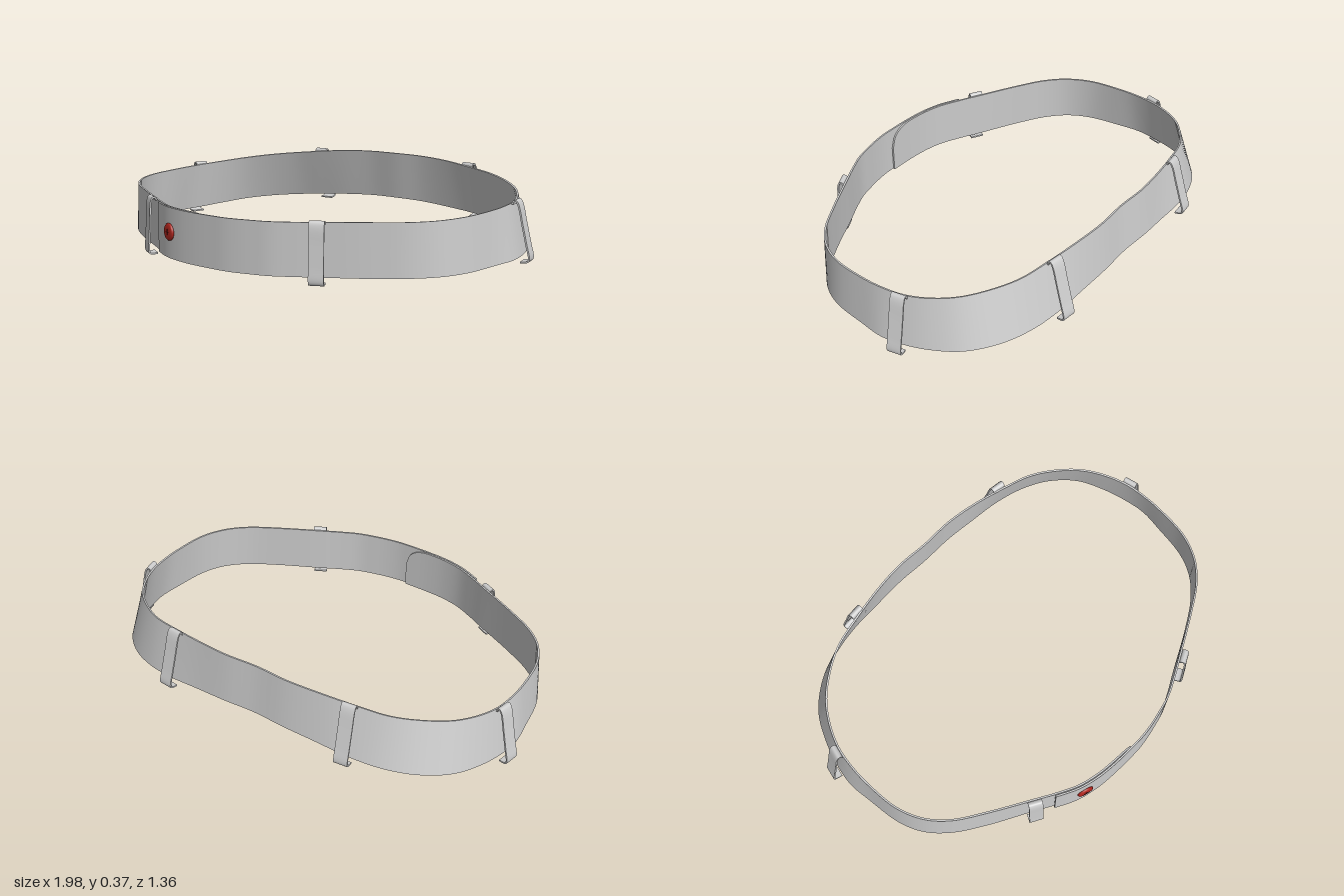
import * as THREE from 'three';

const grey = new THREE.MeshStandardMaterial({ color: 0xcccccc, side: THREE.DoubleSide });
const red = new THREE.MeshStandardMaterial({ color: 0xb3261e });
const darkRed = new THREE.MeshStandardMaterial({ color: 0x4a0d0a });

// Half of the belt line, front centre to back centre:
// top edge x, z, y, then bottom edge x, z, y
const half = [
  [0, 0.669, 0.245, 0, 0.669, 0.026], [0.1, 0.667, 0.245, 0.1, 0.667, 0.026],
  [0.19, 0.658, 0.246, 0.19, 0.658, 0.027], [0.28, 0.636, 0.247, 0.28, 0.636, 0.028],
  [0.37, 0.594, 0.249, 0.37, 0.594, 0.03], [0.46, 0.545, 0.252, 0.46, 0.545, 0.032],
  [0.64, 0.445, 0.258, 0.65, 0.445, 0.037], [0.77, 0.362, 0.262, 0.78, 0.362, 0.042],
  [0.85, 0.275, 0.266, 0.865, 0.275, 0.046], [0.9, 0.16, 0.271, 0.915, 0.17, 0.05],
  [0.917, 0, 0.276, 0.942, 0, 0.055], [0.915, -0.1, 0.28, 0.953, -0.11, 0.057],
  [0.9, -0.2, 0.285, 0.938, -0.21, 0.06], [0.86, -0.3, 0.294, 0.9, -0.33, 0.07],
  [0.795, -0.395, 0.307, 0.835, -0.45, 0.085], [0.7, -0.475, 0.322, 0.725, -0.545, 0.1],
  [0.59, -0.535, 0.335, 0.6, -0.6, 0.112], [0.45, -0.57, 0.35, 0.46, -0.628, 0.125],
  [0.3, -0.598, 0.364, 0.3, -0.637, 0.138], [0.15, -0.613, 0.371, 0.15, -0.643, 0.147],
  [0, -0.608, 0.373, 0, -0.638, 0.15],
];
const N = 2 * (half.length - 1);

function edgeCurve(k) {
  const right = half.map(p => new THREE.Vector3(p[k], p[k + 2], p[k + 1]));
  const left = right.slice(1, -1).reverse().map(p => new THREE.Vector3(-p.x, p.y, p.z));
  return new THREE.CatmullRomCurve3([...right, ...left], true);
}
const topEdge = edgeCurve(0), bottomEdge = edgeCurve(3);

// Local axes of the belt at station s: both edges, tangent, up and outward
function frame(s) {
  const t = (((s % N) + N) % N) / N;
  const top = topEdge.getPoint(t), bottom = bottomEdge.getPoint(t);
  const tangent = bottomEdge.getTangent(t).setY(0).normalize();
  const up = top.clone().sub(bottom).normalize();
  const out = tangent.clone().cross(up).normalize();
  return { top, bottom, tangent, up, out };
}

// Skin four-cornered rings: smooth along the length, sharp at the corners
function skin(rings) {
  const pos = [], index = [];
  const add = p => pos.push(p.x, p.y, p.z) / 3 - 1;
  for (let j = 0; j < 4; j++) {
    const start = pos.length / 3;
    rings.forEach(r => { add(r[j]); add(r[(j + 1) % 4]); });
    for (let i = 0; i < rings.length - 1; i++) {
      const a = start + i * 2;
      index.push(a, a + 2, a + 3, a, a + 3, a + 1);
    }
  }
  for (const ring of [rings[0], [...rings[rings.length - 1]].reverse()]) {
    const a = pos.length / 3;
    ring.forEach(add);
    index.push(a, a + 1, a + 2, a, a + 2, a + 3);
  }
  const g = new THREE.BufferGeometry();
  g.setAttribute('position', new THREE.Float32BufferAttribute(pos, 3));
  g.setIndex(index);
  g.computeVertexNormals();
  return g;
}

function mesh(name, geometry, material = grey) {
  const m = new THREE.Mesh(geometry, material);
  m.name = name;
  return m;
}

// Band whose outer end overlaps its rounded inner end at the front
function beltBand() {
  const first = -4.1, last = N + 0.3, steps = 300, thick = 0.008, rings = [];
  for (let i = 0; i <= steps; i++) {
    const s = first + (last - first) * i / steps;
    const f = frame(s);
    const lift = 0.011 * (1 - THREE.MathUtils.smoothstep(s, 0.5, 2.5));
    const k = Math.max(0, (s - last + 1.6) / 1.6);
    const height = 0.55 + 0.45 * Math.sqrt(Math.max(0, 1 - k ** 3));
    const top = f.bottom.clone().lerp(f.top, height);
    const at = (p, d) => p.clone().addScaledVector(f.out, d);
    rings.push([at(f.bottom, lift), at(top, lift), at(top, lift - thick), at(f.bottom, lift - thick)]);
  }
  return mesh('beltBand', skin(rings));
}

// Belt loop: strip folded over the top edge, hanging outside, hooked in below
function beltLoop(s, name) {
  const f = frame(s), width = 0.062, thick = 0.007;
  const h = f.top.distanceTo(f.bottom);
  const path = new THREE.CatmullRomCurve3([
    [0.002, h - 0.008], [0.006, h + 0.003], [0.018, h + 0.005], [0.026, h - 0.012],
    [0.031, h * 0.6], [0.036, h * 0.2], [0.039, -0.008], [0.034, -0.021], [0.022, -0.024], [0, -0.022],
  ].map(([a, y]) => new THREE.Vector3(a, y, 0)));
  const rings = [];
  for (let i = 0; i <= 40; i++) {
    const p = path.getPoint(i / 40), d = path.getTangent(i / 40);
    const corner = (side, off) => f.bottom.clone()
      .addScaledVector(f.out, p.x - d.y * off)
      .addScaledVector(f.up, p.y + d.x * off)
      .addScaledVector(f.tangent, side * width / 2);
    const o = thick / 2;
    rings.push([corner(-1, o), corner(1, o), corner(1, -o), corner(-1, -o)]);
  }
  return mesh(name, skin(rings));
}

// Domed button with a small cross recess mark
function button() {
  const g = new THREE.Group();
  g.name = 'button';
  const profile = [[0, -0.006], [0.037, -0.006], [0.037, 0.003], [0.033, 0.007], [0.018, 0.009], [0, 0.009]];
  const dome = new THREE.LatheGeometry(profile.map(p => new THREE.Vector2(...p)), 32);
  dome.rotateX(Math.PI / 2);
  g.add(mesh('buttonCap', dome, red));
  for (const angle of [0, Math.PI / 2]) {
    const bar = mesh('buttonCross', new THREE.BoxGeometry(0.026, 0.004, 0.003), darkRed);
    bar.position.z = 0.0085;
    bar.rotation.z = angle;
    g.add(bar);
  }
  const f = frame(-2.7);
  g.position.copy(f.bottom).lerp(f.top, 0.52).addScaledVector(f.out, 0.013);
  g.quaternion.setFromRotationMatrix(new THREE.Matrix4().makeBasis(f.tangent, f.up, f.out));
  return g;
}

export function createModel() {
  const model = new THREE.Group();
  model.name = 'belt';
  model.add(beltBand(), button());
  for (const [s, name] of [[5, 'frontLoop'], [11.9, 'sideLoop'], [17.1, 'backLoop']]) {
    model.add(beltLoop(s, name + 'Left'), beltLoop(N - s, name + 'Right'));
  }
  return model;
}
